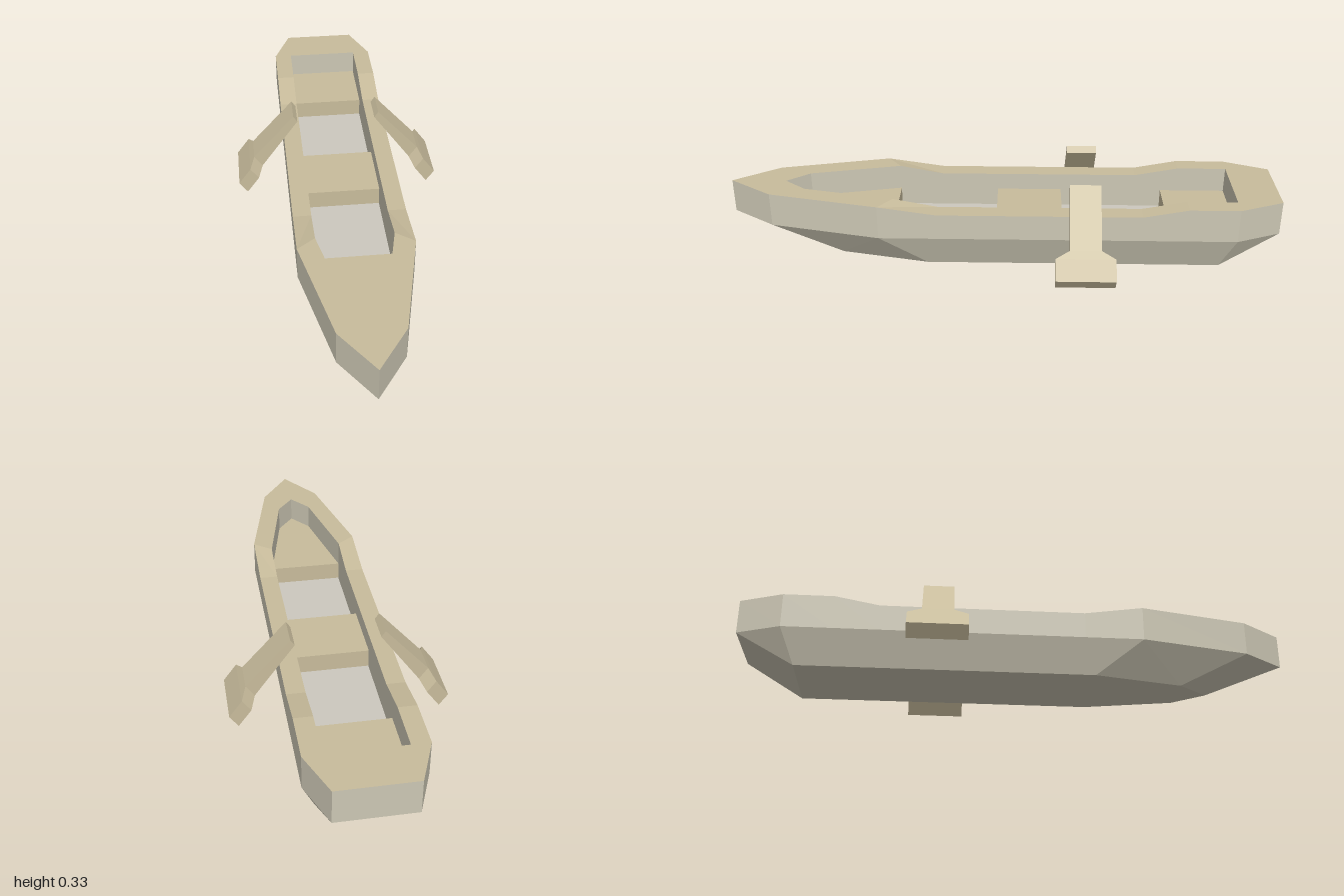
import * as THREE from 'three';

const WOOD = 0xc8bc9c, HULL = 0xccc7b4, FLOOR = 0xccc8be;
const FLOOR_Y = 0.09, SEAT_Y = 0.157, CHINE_Y = 0.125;

// Flat-shaded skin over rows of points; side = -1 mirrors it across x.
function skin(rows, side = 1, closed = false) {
  const out = [];
  const tri = (a, b, c) => {
    const pts = side > 0 ? [a, b, c] : [a, c, b];
    const [p, q, r] = pts.map(([x, y, z]) => new THREE.Vector3(x * side, y, z));
    if (q.clone().sub(p).cross(r.clone().sub(p)).length() < 1e-8) return;
    for (const v of [p, q, r]) out.push(v.x, v.y, v.z);
  };
  for (let i = 0; i < rows.length - 1; i++) {
    const n = rows[i].length;
    for (let j = 0; j < (closed ? n : n - 1); j++) {
      const k = (j + 1) % n;
      const a = rows[i][j], b = rows[i][k], c = rows[i + 1][k], d = rows[i + 1][j];
      tri(a, d, c);
      tri(a, c, b);
    }
  }
  const g = new THREE.BufferGeometry();
  g.setAttribute('position', new THREE.Float32BufferAttribute(out, 3));
  g.computeVertexNormals();
  return g;
}

function mesh(name, geometry, color) {
  const m = new THREE.Mesh(geometry, new THREE.MeshStandardMaterial({ color, flatShading: true }));
  m.name = name;
  return m;
}

// Stations from bow to stern: outer z, outer x, rim y, inner z, inner x, bottom z, bottom x
const STATIONS = [
  [1, 0, 0.25, 0.8, 0, 0.7, 0],
  [0.84, 0.11, 0.25, 0.72, 0.063, 0.59, 0.083],
  [0.44, 0.2, 0.25, 0.39, 0.135, 0.27, 0.153],
  [0.23, 0.2, 0.22, 0.23, 0.135, 0.1, 0.153],
  [-0.5, 0.2, 0.22, -0.5, 0.135, -0.5, 0.153],
  [-0.66, 0.2, 0.25, -0.66, 0.135, -0.66, 0.153],
  [-0.84, 0.2, 0.25, -0.84, 0.135, -0.79, 0.153],
  [-1, 0.135, 0.25, -0.84, 0.135, -0.79, 0.153],
  [-1, 0, 0.25, -0.84, 0, -0.79, 0],
];

// Half sections: keel, bottom edge, chine, outer rim, inner rim, floor edge, floor centre
const SECTIONS = STATIONS.map(([oz, ox, y, iz, ix, bz, bx]) => [
  [0, 0, bz], [bx, 0, bz], [ox, CHINE_Y, oz], [ox, y, oz],
  [ix, y, iz], [ix, FLOOR_Y, iz], [0, FLOOR_Y, iz],
]);

// Oar sections: outer x, y, inner x, y, half width
const OAR = [
  [0.163, 0.327, 0.148, 0.305, 0.055],
  [0.32, 0.153, 0.289, 0.11, 0.055],
  [0.338, 0.13, 0.307, 0.087, 0.105],
  [0.384, 0.067, 0.353, 0.024, 0.105],
];
const OAR_Z = -0.295;

function oarRows() {
  const rows = OAR.map(([ox, oy, ix, iy, h]) => [
    [ox, oy, OAR_Z + h], [ox, oy, OAR_Z - h], [ix, iy, OAR_Z - h], [ix, iy, OAR_Z + h],
  ]);
  // End caps collapse to the middle of the end sections
  const cap = ([ox, oy, ix, iy]) => Array(4).fill([(ox + ix) / 2, (oy + iy) / 2, OAR_Z]);
  return [cap(OAR[0]), ...rows, cap(OAR[OAR.length - 1])];
}

// Seat block from an outline of [x, z] points
function seat(name, outline) {
  const shape = new THREE.Shape(outline.map(([x, z]) => new THREE.Vector2(x, -z)));
  const g = new THREE.ExtrudeGeometry(shape, { depth: SEAT_Y - FLOOR_Y, bevelEnabled: false });
  g.rotateX(-Math.PI / 2);
  g.translate(0, FLOOR_Y, 0);
  return mesh(name, g, WOOD);
}

export function createModel() {
  const boat = new THREE.Group();
  boat.name = 'rowingBoat';

  // Mirrored halves of the shell, and the oars
  for (const [label, side] of [['left', 1], ['right', -1]]) {
    const strip = (from, to) => skin(SECTIONS.map((s) => s.slice(from, to + 1)), side);
    boat.add(
      mesh(label + 'Hull', strip(0, 3), HULL),
      mesh(label + 'Rim', strip(3, 4), WOOD),
      mesh(label + 'InnerWall', strip(4, 5), HULL),
      mesh(label + 'Floor', strip(5, 6), FLOOR),
      mesh(label + 'Oar', skin(oarRows(), side, true), WOOD),
    );
  }

  // Seats
  const w = 0.135;
  const bench = (z0, z1) => [[-w, z1], [w, z1], [w, z0], [-w, z0]];
  boat.add(
    seat('sternSeat', bench(-0.84, -0.6)),
    seat('middleSeat', bench(-0.22, 0.02)),
    seat('bowSeat', [[-w, 0.39], [-0.063, 0.72], [0, 0.8], [0.063, 0.72], [w, 0.39]]),
  );
  return boat;
}
